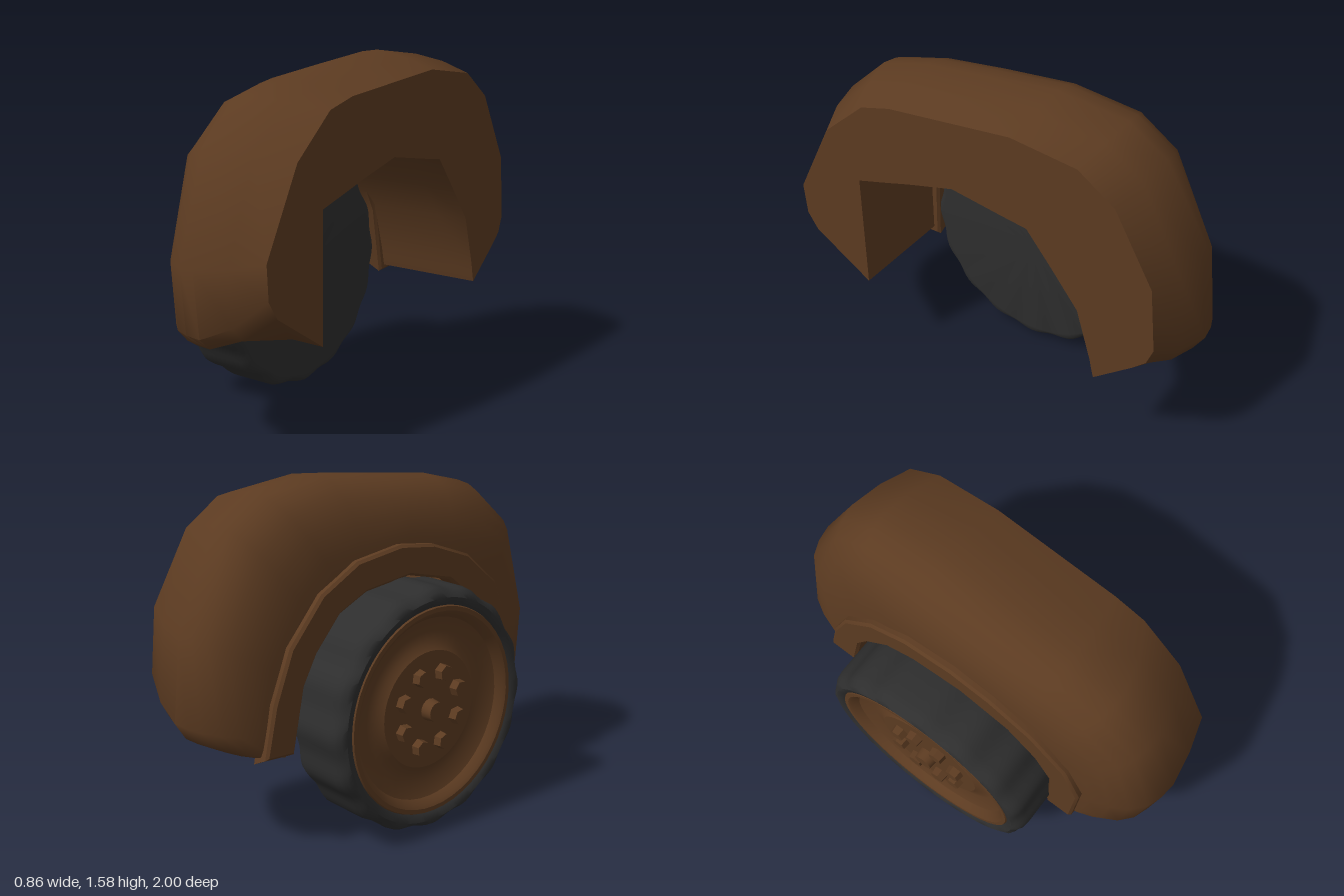
import * as THREE from 'three';
import { toCreasedNormals } from 'three/addons/utils/BufferGeometryUtils.js';

const brown = new THREE.MeshStandardMaterial({ color: 0x5c3b21 });
brown.name = 'brown paint';
const rubber = new THREE.MeshStandardMaterial({ color: 0x2e2e2e });
rubber.name = 'dark rubber';

const WHEEL_Y = 0.565;

function add(parent, name, geometry, material) {
  const mesh = new THREE.Mesh(geometry, material);
  mesh.name = name;
  parent.add(mesh);
  return mesh;
}

// Stations along the arch, front to rear, as [z, y]: crest, cut edge, inner arch
const stations = [
  [[0.91, 0.465], [0.87, 0.64], [0.58, 0.45]],
  [[0.97, 0.52], [0.92, 0.72], [0.58, 0.54]],
  [[1.0, 0.81], [0.93, 0.87], [0.58, 0.75]],
  [[0.85, 1.27], [0.74, 1.23], [0.58, 1.02]],
  [[0.65, 1.45], [0.53, 1.41], [0.42, 1.065]],
  [[0.41, 1.51], [0.38, 1.45], [0.3, 1.1]],
  [[0.1, 1.543], [0.08, 1.48], [0.07, 1.16]],
  [[-0.25, 1.58], [-0.22, 1.51], [-0.17, 1.12]],
  [[-0.58, 1.54], [-0.53, 1.47], [-0.3, 1.1]],
  [[-0.76, 1.42], [-0.7, 1.35], [-0.42, 0.95]],
  [[-0.96, 0.99], [-0.88, 1.03], [-0.55, 0.78]],
  [[-1.0, 0.61], [-0.91, 0.73], [-0.62, 0.54]],
  [[-0.95, 0.53], [-0.88, 0.65], [-0.63, 0.49]],
  [[-0.87, 0.49], [-0.82, 0.595], [-0.64, 0.45]],
];
// Cross-section from crest to wheel side: x and share of the way in to the arch
const section = [[0.11, 0], [0.03, 0.025], [-0.04, 0.09], [-0.1, 0.23], [-0.14, 0.42], [-0.165, 0.65], [-0.175, 1]];

const mix = (a, b, t) => [a[0] + (b[0] - a[0]) * t, a[1] + (b[1] - a[1]) * t];

function fenderGeometry() {
  const positions = [], index = [];
  const n = section.length + 2, ring = 2 * n;
  const put = (x, [z, y]) => positions.push(x, y, z);
  for (const [crest, cut, inner] of stations) {
    const outer = [[0.425, cut], [0.27, mix(crest, cut, 0.36)]];
    for (const [x, t] of section) outer.push([x, mix(crest, inner, t * 0.97)]);
    outer.forEach(([x, p]) => put(x, p));
    for (let j = n - 1; j >= 0; j--) put(outer[j][0], inner);
  }
  const quad = (a, b, c, d) => index.push(a, b, c, a, c, d);
  const last = (stations.length - 1) * ring;
  for (let i = 0; i < last; i += ring) {
    for (let j = 0; j < ring; j++) {
      const k = (j + 1) % ring;
      quad(i + j, i + ring + j, i + ring + k, i + k);
    }
  }
  // End caps
  for (let j = 0; j < n - 1; j++) {
    const inA = ring - 1 - j, inB = ring - 2 - j;
    quad(j, j + 1, inB, inA);
    quad(last + j, last + inA, last + inB, last + j + 1);
  }
  const g = new THREE.BufferGeometry();
  g.setAttribute('position', new THREE.Float32BufferAttribute(positions, 3));
  g.setIndex(index);
  return toCreasedNormals(g, 0.75);
}

// Raised trim around the wheel opening, its feet cut on a slant
function archLipGeometry() {
  const outer = [[0.69, 0.41], [0.7, 0.8], [0.61, 1.01], [0.42, 1.17], [0.2, 1.25], [0, 1.275], [-0.25, 1.24],
    [-0.45, 1.13], [-0.62, 0.93], [-0.71, 0.7], [-0.76, 0.43]];
  const inner = [[-0.61, 0.42], [-0.55, 0.75], [-0.48, 0.88], [-0.35, 1.03], [-0.2, 1.1], [0.05, 1.13],
    [0.3, 1.07], [0.45, 0.95], [0.54, 0.8], [0.55, 0.41]];
  const shape = new THREE.Shape([...outer, ...inner].map(([z, y]) => new THREE.Vector2(-z, y)));
  const g = new THREE.ExtrudeGeometry(shape, {
    depth: 0.08, bevelThickness: 0.012, bevelSize: 0.012, bevelOffset: -0.012, bevelSegments: 1,
  });
  g.rotateY(Math.PI / 2).translate(-0.19, 0, 0);
  const p = g.attributes.position;
  for (let i = 0; i < p.count; i++) {
    if (p.getY(i) < 0.46 && p.getX(i) < -0.15) p.setY(i, p.getY(i) + 0.04);
  }
  return toCreasedNormals(g, 0.5);
}

// Turned part about the wheel axle; points are [radius, x]
function turned(points, segments) {
  const g = new THREE.LatheGeometry(points.map(([r, x]) => new THREE.Vector2(r, x)), segments);
  return g.rotateZ(-Math.PI / 2);
}

function tireGeometry() {
  const g = turned([[0.47, -0.405], [0.485, -0.425], [0.515, -0.432], [0.54, -0.422], [0.557, -0.395], [0.563, -0.36],
    [0.563, -0.15], [0.552, -0.12], [0.535, -0.103], [0.51, -0.1], [0, -0.1]], 128);
  // Scalloped tread
  const p = g.attributes.position;
  for (let i = 0; i < p.count; i++) {
    const y = p.getY(i), z = p.getZ(i);
    if (Math.hypot(y, z) < 0.53) continue;
    const s = 1 - 0.014 * (1 - Math.cos(16 * Math.atan2(z, y)));
    p.setY(i, y * s);
    p.setZ(i, z * s);
  }
  return toCreasedNormals(g, 0.7);
}

function boltGeometry(radius, length, sides) {
  const g = new THREE.CylinderGeometry(radius, radius * 0.85, length, sides);
  return toCreasedNormals(g.rotateZ(-Math.PI / 2), 0.6);
}

export function createModel() {
  const model = new THREE.Group();
  model.name = 'wheelAndFender';
  add(model, 'fender', fenderGeometry(), brown);
  add(model, 'archLip', archLipGeometry(), brown);

  const wheel = new THREE.Group();
  wheel.name = 'wheel';
  wheel.position.y = WHEEL_Y;
  model.add(wheel);
  add(wheel, 'tire', tireGeometry(), rubber);

  // Dished rim with a raised centre plate
  const rim = turned([[0, -0.385], [0.27, -0.385], [0.3, -0.365], [0.35, -0.36], [0.42, -0.385],
    [0.44, -0.415], [0.455, -0.425], [0.475, -0.425], [0.485, -0.405]], 48);
  add(wheel, 'rim', toCreasedNormals(rim, 0.5), brown);

  add(wheel, 'hubCap', boltGeometry(0.052, 0.06, 16), brown).position.x = -0.405;
  for (let i = 0; i < 8; i++) {
    const a = (i + 0.5) * Math.PI / 4;
    const bolt = add(wheel, 'wheelNut', boltGeometry(0.042, 0.05, 6), brown);
    bolt.position.set(-0.398, 0.175 * Math.cos(a), 0.175 * Math.sin(a));
    bolt.rotation.x = a;
  }
  return model;
}
